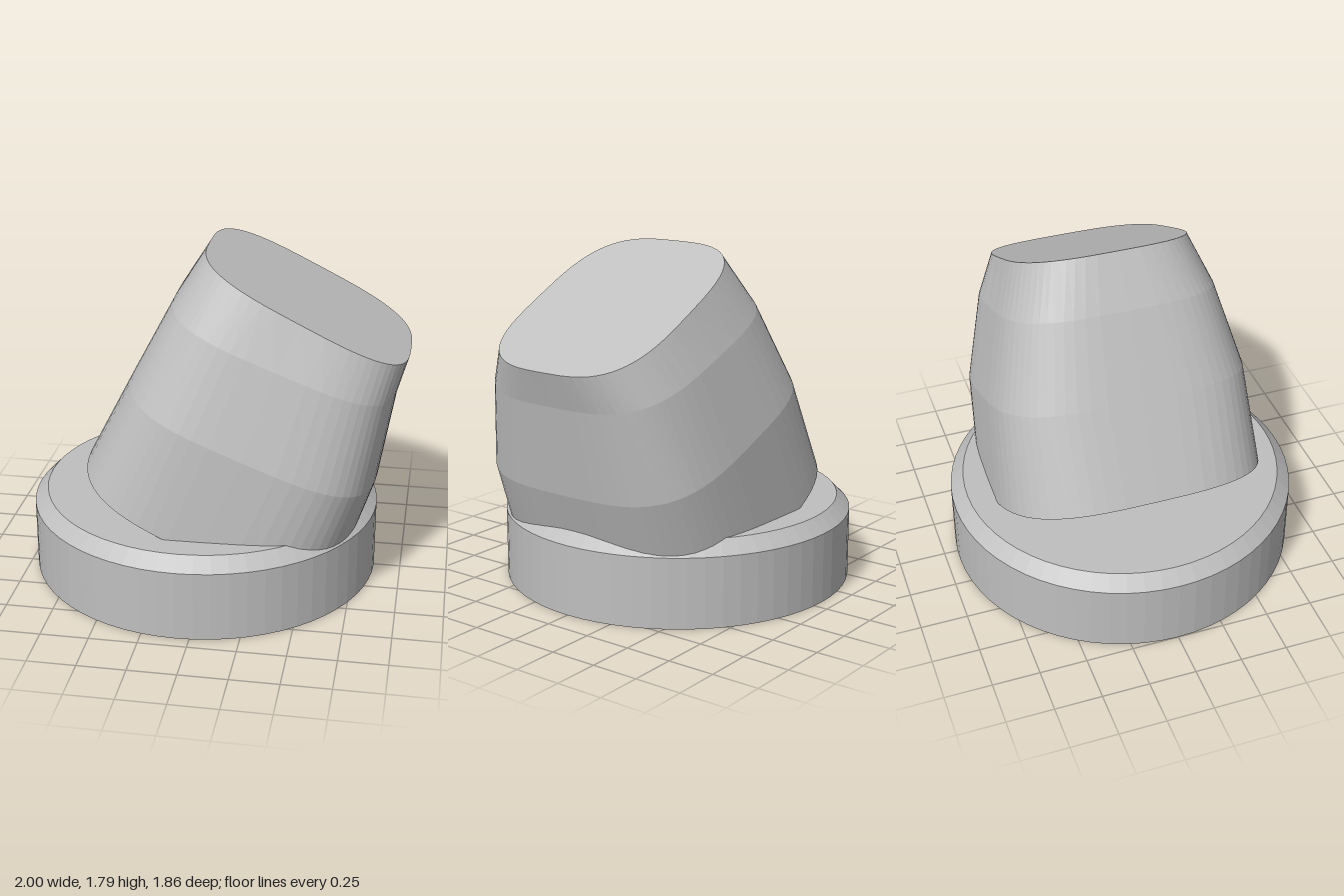
import * as THREE from 'three';

const SEGMENTS = 64;

// Rounded-rectangle ring on a sloped plane, from its left end [x, y] to its right end [x, y]
function ring({ left, right, halfDepth, power }) {
  const points = [];
  const soften = (v) => Math.sign(v) * Math.pow(Math.abs(v), 2 / power);
  for (let i = 0; i < SEGMENTS; i++) {
    const t = (i / SEGMENTS) * Math.PI * 2;
    const u = (soften(Math.cos(t)) + 1) / 2;
    points.push(new THREE.Vector3(
      THREE.MathUtils.lerp(left[0], right[0], u),
      THREE.MathUtils.lerp(left[1], right[1], u),
      soften(Math.sin(t)) * halfDepth
    ));
  }
  return points;
}

// Closed loft through rings listed from top to bottom
function loft(sections) {
  const rings = sections.map(ring);
  const centre = (s) => new THREE.Vector3(
    (s.left[0] + s.right[0]) / 2, (s.left[1] + s.right[1]) / 2, 0);
  const topCentre = centre(sections[0]);
  const bottomCentre = centre(sections[sections.length - 1]);
  const top = rings[0];
  const bottom = rings[rings.length - 1];
  const corners = [];
  for (let i = 0; i < SEGMENTS; i++) {
    const j = (i + 1) % SEGMENTS;
    for (let k = 0; k < rings.length - 1; k++) {
      const upper = rings[k];
      const lower = rings[k + 1];
      corners.push(upper[i], upper[j], lower[i], upper[j], lower[j], lower[i]);
    }
    corners.push(topCentre, top[j], top[i]);
    corners.push(bottomCentre, bottom[i], bottom[j]);
  }
  const geometry = new THREE.BufferGeometry().setFromPoints(corners);
  geometry.computeVertexNormals();
  return geometry;
}

export function createModel() {
  const model = new THREE.Group();
  model.name = 'tiltedKnob';
  const grey = new THREE.MeshStandardMaterial({ color: 0xbfbfbf, flatShading: true });
  grey.name = 'lightGrey';

  // Round base with a chamfered upper rim
  const profile = [[0, 0], [0.929, 0], [0.929, 0.37], [0.859, 0.44], [0, 0.44]]
    .map(([x, y]) => new THREE.Vector2(x, y));
  const base = new THREE.Mesh(new THREE.LatheGeometry(profile, SEGMENTS), grey);
  base.name = 'base';
  base.position.x = -0.071;
  model.add(base);

  // Leaning, tapered body sunk into the base
  const body = new THREE.Mesh(loft([
    { left: [-0.045, 1.795], right: [1.0, 1.275], halfDepth: 0.475, power: 3.2 },
    { left: [-0.205, 1.54], right: [0.945, 1.095], halfDepth: 0.575, power: 3.5 },
    { left: [-0.42, 1.13], right: [0.865, 0.63], halfDepth: 0.69, power: 3.5 },
    { left: [-0.665, 0.655], right: [0.68, 0.07], halfDepth: 0.725, power: 3.2 },
  ]), grey);
  body.name = 'body';
  model.add(body);

  return model;
}
